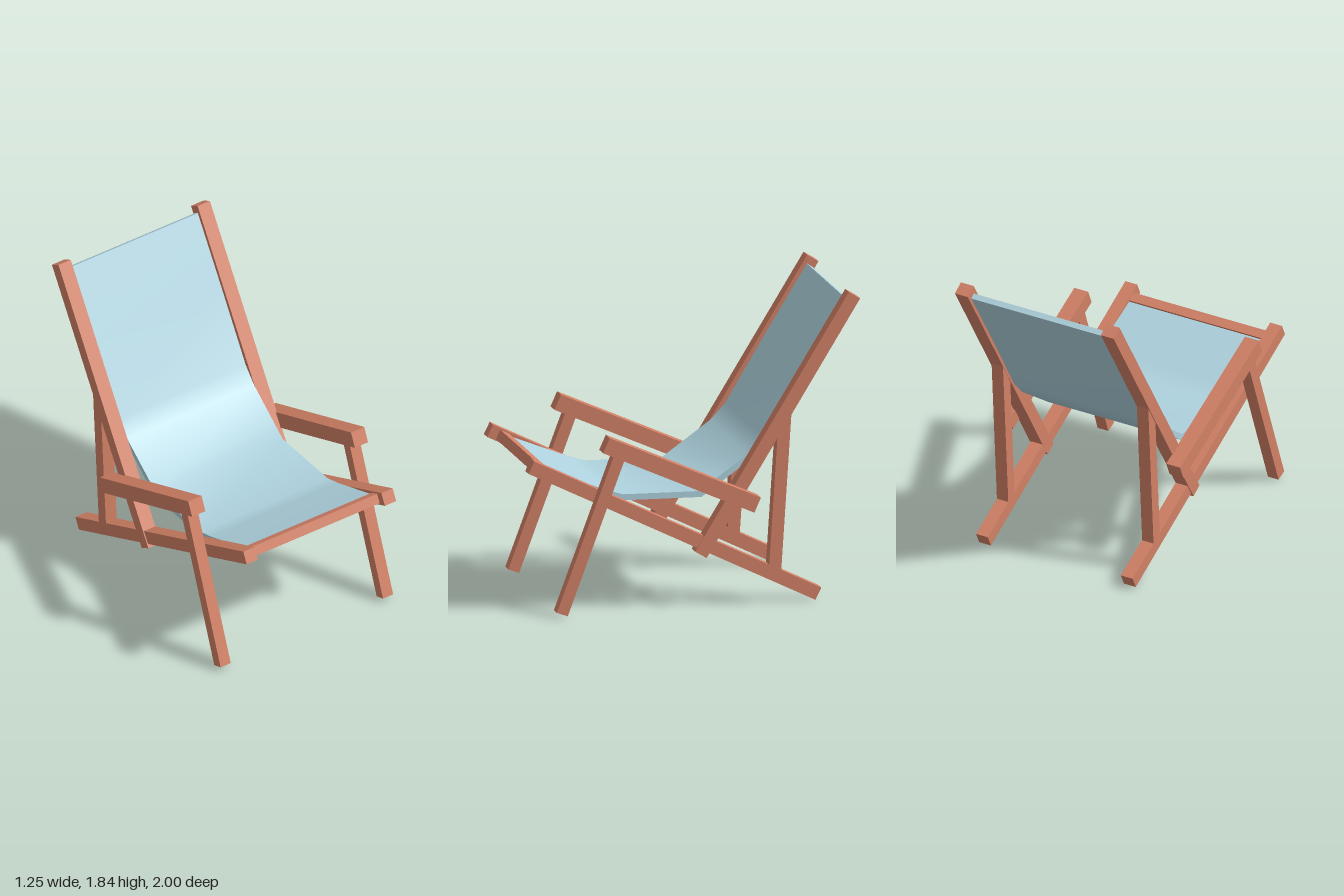
import * as THREE from 'three';

const wood = new THREE.MeshStandardMaterial({ color: 0xd28166 });
wood.name = 'terracotta wood';
const cloth = new THREE.MeshStandardMaterial({ color: 0xaed2de });
cloth.name = 'pale blue canvas';

// Straight timber between two [z, y] points, spanning x0..x1
function beam(name, [z0, y0], [z1, y1], x0, x1, thickness) {
  const length = Math.hypot(z1 - z0, y1 - y0);
  const mesh = new THREE.Mesh(new THREE.BoxGeometry(x1 - x0, thickness, length), wood);
  mesh.position.set((x0 + x1) / 2, (y0 + y1) / 2, (z0 + z1) / 2);
  mesh.rotation.x = -Math.atan2(y0 - y1, z0 - z1);
  mesh.name = name;
  return mesh;
}

// Sling of even thickness that follows a side profile of [z, y] points, rear to front
function sling(profile, width, thickness) {
  const n = profile.length - 1;
  const geometry = new THREE.BoxGeometry(width, thickness, 1, 1, 1, n);
  const pos = geometry.attributes.position;
  const direction = (a, b) => new THREE.Vector2(b[0] - a[0], b[1] - a[1]).normalize();
  for (let v = 0; v < pos.count; v++) {
    const i = Math.round((pos.getZ(v) + 0.5) * n);
    const before = direction(profile[Math.max(i - 1, 0)], profile[Math.max(i, 1)]);
    const after = direction(profile[Math.min(i, n - 1)], profile[Math.min(i + 1, n)]);
    const along = before.clone().add(after).normalize();
    const offset = pos.getY(v) / along.dot(after);
    pos.setXYZ(v, pos.getX(v), profile[i][1] + along.x * offset, profile[i][0] - along.y * offset);
  }
  geometry.computeVertexNormals();
  const mesh = new THREE.Mesh(geometry, cloth);
  mesh.name = 'canvasSling';
  return mesh;
}

export function createModel() {
  const group = new THREE.Group();
  group.name = 'deckChair';

  // Timbers of each side: name, front/lower end, rear/upper end, inner x, outer x, thickness
  const timbers = [
    ['SeatRail', [0.98, 0.895], [-0.75, 0.04], 0.45, 0.53, 0.08],
    ['BackRail', [-0.04, 0.315], [-0.966, 1.82], 0.45, 0.537, 0.08],
    ['Armrest', [0.552, 1.024], [-0.36, 0.615], 0.53, 0.624, 0.097],
    ['FrontLeg', [0.815, 0.023], [0.465, 0.96], 0.54, 0.612, 0.07],
    ['BackStrut', [-0.487, 0.17], [-0.55, 1.13], 0.453, 0.53, 0.075],
  ];
  for (const side of [1, -1]) {
    for (const [name, a, b, inner, outer, thickness] of timbers) {
      const x0 = Math.min(side * inner, side * outer);
      const x1 = Math.max(side * inner, side * outer);
      group.add(beam((side > 0 ? 'left' : 'right') + name, a, b, x0, x1, thickness));
    }
  }

  // Bar joining the front ends of the seat rails
  group.add(beam('frontCrossbar', [0.932, 0.871], [0.878, 0.845], -0.45, 0.45, 0.06));

  // Canvas hanging from the back rails to the crossbar
  group.add(sling([
    [-0.945, 1.78], [-0.7, 1.385], [-0.45, 0.97], [-0.36, 0.873],
    [-0.06, 0.66], [0.41, 0.667], [0.52, 0.702], [0.88, 0.845],
  ], 0.9, 0.036));

  return group;
}
